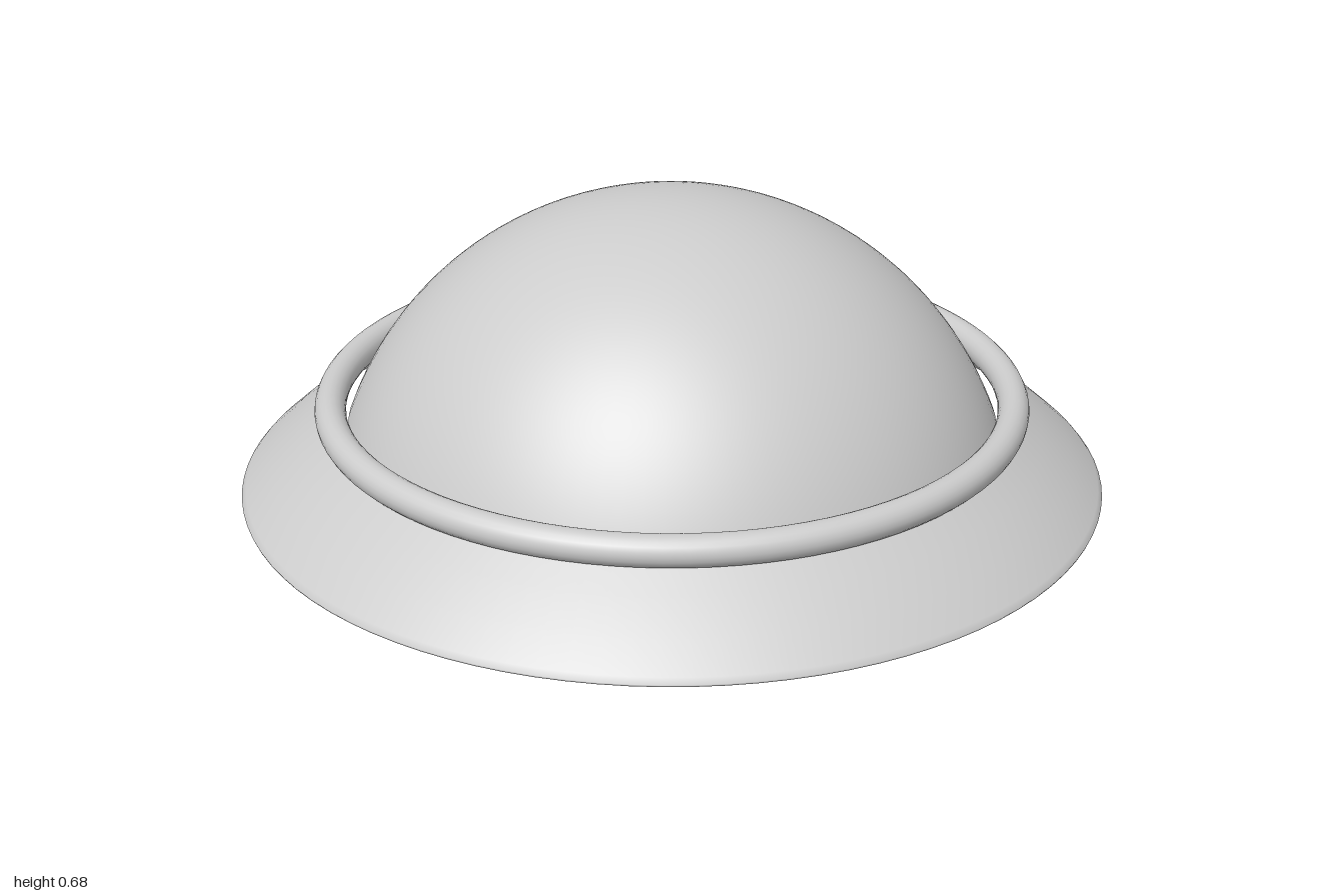
import * as THREE from 'three';

export function createModel() {
  const group = new THREE.Group();
  const grey = new THREE.MeshStandardMaterial({ color: 0xcccccc, side: THREE.DoubleSide });
  grey.name = 'light grey';

  const add = (name, geometry) => {
    const mesh = new THREE.Mesh(geometry, grey);
    mesh.name = name;
    group.add(mesh);
    return mesh;
  };

  // Open spherical cap, a touch narrower from front to back
  const R = 0.804, top = 0.675, rimRadius = 0.752;
  const dome = add('dome', new THREE.SphereGeometry(R, 96, 32, 0, Math.PI * 2, 0, Math.asin(rimRadius / R)));
  dome.position.y = top - R;
  dome.scale.z = 0.98;

  // Round band, separated from the dome by a narrow gap
  const ring = add('ring', new THREE.TorusGeometry(0.788, 0.036, 20, 96).rotateX(Math.PI / 2));
  ring.position.y = 0.2;

  // Thin flared brim with a small rolled edge, open in the middle
  const brimProfile = [
    [0.775, 0.165], [0.84, 0.118], [0.92, 0.056], [0.982, 0.002], [0.99, 0],
    [0.998, 0.002], [1, 0.007], [0.99, 0.019], [0.93, 0.073], [0.86, 0.128], [0.79, 0.178],
  ].map(([r, y]) => new THREE.Vector2(r, y));
  add('brim', new THREE.LatheGeometry(brimProfile, 96));

  return group;
}
